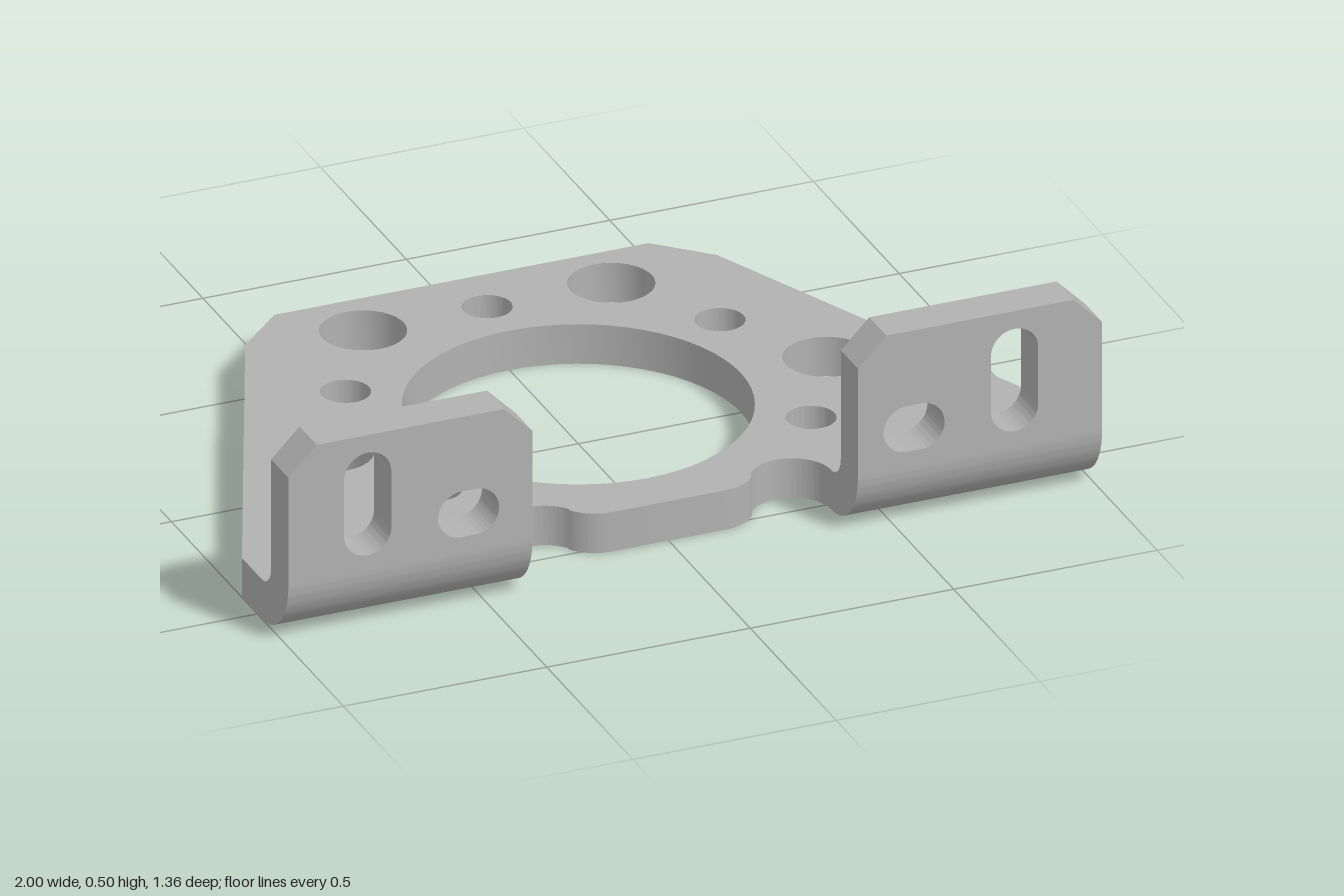
import * as THREE from 'three';
import { toCreasedNormals } from 'three/addons/utils/BufferGeometryUtils.js';

const T = 0.1;          // sheet thickness
const BEND_Z = 0.525;   // where the bend starts
const R_IN = 0.055, R_OUT = R_IN + T;

function extrude(shape, depth, curveSegments = 32) {
  const g = new THREE.ExtrudeGeometry(shape, { depth, bevelEnabled: false, curveSegments });
  return toCreasedNormals(g, 0.5);
}

function circle(x, y, r) {
  return new THREE.Path().absarc(x, y, r, 0, Math.PI * 2, true);
}

// Slot with rounded ends; w and h are overall sizes
function slot(x, y, w, h) {
  const r = Math.min(w, h) / 2, dx = w / 2 - r, dy = h / 2 - r;
  const p = new THREE.Path();
  const PI = Math.PI;
  if (dy > dx) {
    p.absarc(x, y + dy, r, 0, PI, false);
    p.absarc(x, y - dy, r, PI, 2 * PI, false);
  } else {
    p.absarc(x + dx, y, r, -PI / 2, PI / 2, false);
    p.absarc(x - dx, y, r, PI / 2, PI * 1.5, false);
  }
  p.closePath();
  return p;
}

// Flat base, drawn with shape y = -z
function basePlate() {
  const s = new THREE.Shape();
  const cx = 0.304, r = 0.096, fx = 0.14, fr = 0.1;
  const a = Math.atan2(fr, cx - fx); // angle between relief and fillet centres
  s.moveTo(0.46, 0.68);
  s.lineTo(-0.46, 0.68);
  s.lineTo(-0.58, 0.565);
  s.lineTo(-1, -0.41);
  s.lineTo(-1, -BEND_Z);
  s.lineTo(-0.4, -BEND_Z);
  // bend relief and fillet on each side of the front tongue
  s.absarc(-cx, -BEND_Z, r, Math.PI, a, true);
  s.absarc(-fx, -BEND_Z + fr, fr, Math.PI + a, Math.PI * 1.5, false);
  s.absarc(fx, -BEND_Z + fr, fr, Math.PI * 1.5, Math.PI * 2 - a, false);
  s.absarc(cx, -BEND_Z, r, Math.PI - a, 0, true);
  s.lineTo(1, -BEND_Z);
  s.lineTo(1, -0.41);
  s.lineTo(0.58, 0.565);
  s.closePath();

  // central bore and the ring of holes
  s.holes.push(circle(0, 0, 0.4), circle(0, 0.53, 0.058));
  for (const m of [-1, 1]) {
    s.holes.push(circle(m * 0.305, 0.53, 0.1), circle(m * 0.61, 0, 0.1));
    for (const y of [-0.265, 0.265]) s.holes.push(circle(m * 0.46, y, 0.058));
  }
  return extrude(s, T).rotateX(-Math.PI / 2);
}

// Quarter-round bend, profile drawn in (z, y) and extruded along x
function bend() {
  const s = new THREE.Shape();
  s.absarc(BEND_Z, R_OUT, R_OUT, -Math.PI / 2, 0, false);
  s.absarc(BEND_Z, R_OUT, R_IN, 0, -Math.PI / 2, true);
  s.closePath();
  return extrude(s, 0.6, 16).rotateY(-Math.PI / 2).translate(0.3, 0, 0);
}

// Upright tab with clipped top corners and two slots
function tab(tallX, wideX) {
  const s = new THREE.Shape();
  s.moveTo(-0.3, R_OUT);
  s.lineTo(0.3, R_OUT);
  s.lineTo(0.3, 0.43);
  s.lineTo(0.23, 0.5);
  s.lineTo(-0.23, 0.5);
  s.lineTo(-0.3, 0.43);
  s.closePath();
  s.holes.push(slot(tallX, 0.325, 0.116, 0.26), slot(wideX, 0.253, 0.15, 0.116));
  return extrude(s, T).translate(0, 0, BEND_Z + R_IN);
}

export function createModel() {
  const group = new THREE.Group();
  group.name = 'mountingBracket';
  const steel = new THREE.MeshStandardMaterial({ color: 0xb2b2b2 });
  steel.name = 'greySteel';

  function add(parent, name, geometry) {
    const mesh = new THREE.Mesh(geometry, steel);
    mesh.name = name;
    parent.add(mesh);
  }

  add(group, 'basePlate', basePlate());

  for (const side of [-1, 1]) {
    const flange = new THREE.Group();
    flange.name = side > 0 ? 'leftFlange' : 'rightFlange';
    flange.position.x = side * 0.7;
    add(flange, 'bend', bend());
    add(flange, 'slottedTab', side > 0 ? tab(0.085, -0.162) : tab(-0.105, 0.143));
    group.add(flange);
  }
  return group;
}
